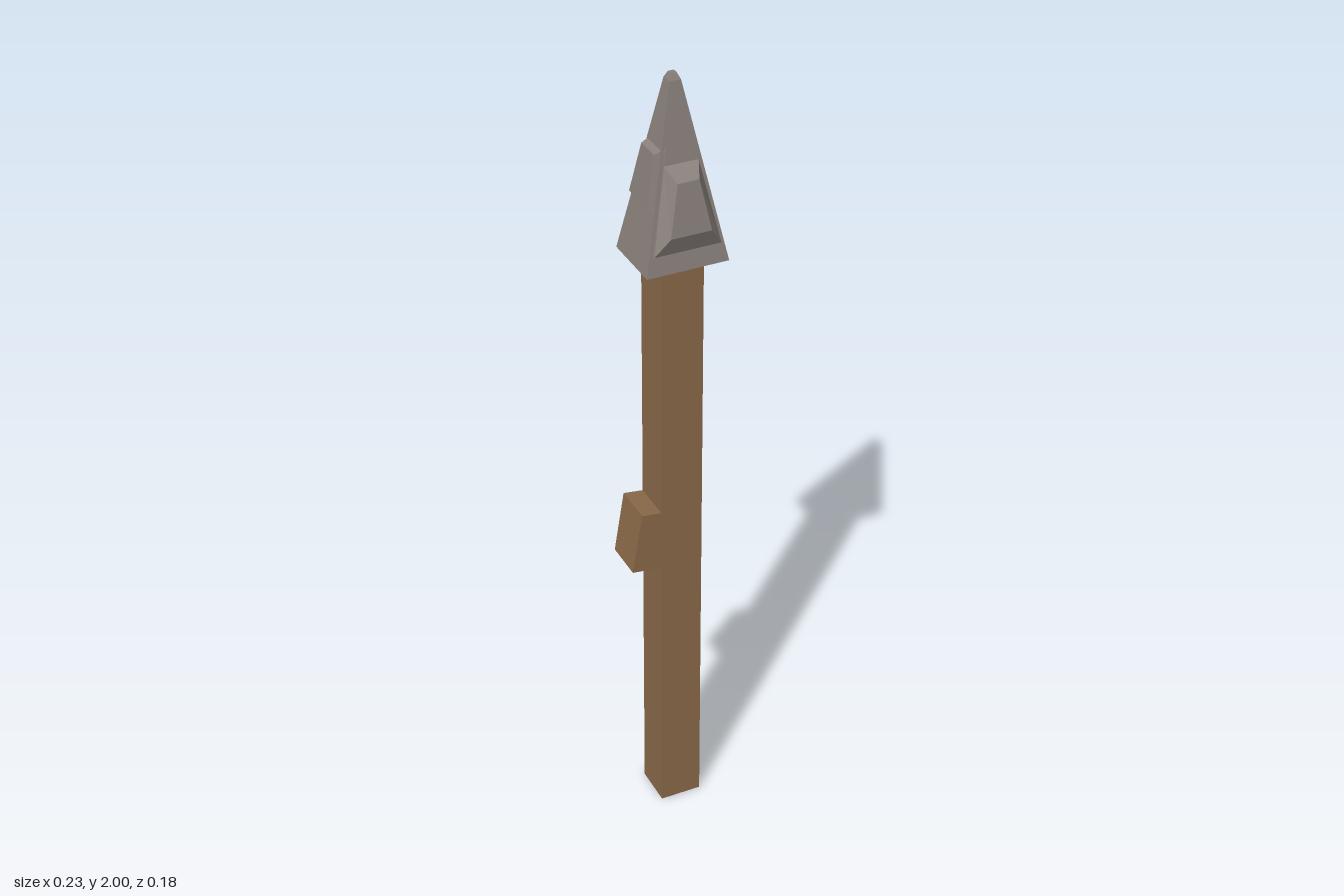
import * as THREE from 'three';

// Closed, flat-faced solid through four-cornered rings (anticlockwise seen from the last ring's side)
function loft(rings) {
  const pos = [];
  const quad = (a, b, c, d) => pos.push(...a, ...b, ...c, ...a, ...c, ...d);
  for (let r = 0; r < rings.length - 1; r++) {
    const lo = rings[r], hi = rings[r + 1];
    for (let i = 0; i < 4; i++) {
      const j = (i + 1) % 4;
      quad(lo[i], lo[j], hi[j], hi[i]);
    }
  }
  const first = rings[0], last = rings[rings.length - 1];
  quad(first[3], first[2], first[1], first[0]);
  quad(...last);
  const geo = new THREE.BufferGeometry();
  geo.setAttribute('position', new THREE.Float32BufferAttribute(pos, 3));
  geo.computeVertexNormals();
  return geo;
}

// Horizontal rectangle at height y
const level = (y, x0, x1, z0, z1) => [[x0, y, z1], [x1, y, z1], [x1, y, z0], [x0, y, z0]];

export function createModel() {
  const group = new THREE.Group();
  const wood = new THREE.MeshStandardMaterial({ color: 0x8b6b49, flatShading: true });
  wood.name = 'wood';
  const stone = new THREE.MeshStandardMaterial({ color: 0x89807b, flatShading: true });
  stone.name = 'stone';

  const add = (name, rings, material) => {
    const mesh = new THREE.Mesh(loft(rings), material);
    mesh.name = name;
    group.add(mesh);
  };

  // Square shaft
  add('shaft', [level(0, -0.04, 0.065, -0.06, 0.045), level(1.56, -0.04, 0.065, -0.06, 0.045)], wood);

  // Slanted branch stub on the side of the shaft
  add('branchStub', [
    [[-0.03, 0.734, -0.06], [-0.03, 0.734, 0.044], [-0.03, 0.894, 0.044], [-0.03, 0.894, -0.06]],
    [[-0.115, 0.744, -0.06], [-0.115, 0.744, 0.044], [-0.09, 0.902, 0.044], [-0.09, 0.902, -0.06]],
  ], wood);

  // Four-sided spearhead with a small bevelled tip
  add('spearhead', [
    level(1.556, -0.087, 0.114, -0.09, 0.072),
    level(1.985, -0.001, 0.027, -0.024, 0.004),
    level(2, 0.006, 0.02, -0.017, -0.003),
  ], stone);

  // Raised chip on the front face
  add('frontChip', [
    [[-0.07, 1.6, 0.055], [0.097, 1.6, 0.055], [0.055, 1.805, 0.015], [-0.029, 1.805, 0.015]],
    [[-0.068, 1.605, 0.07], [0.095, 1.605, 0.07], [0.055, 1.802, 0.035], [-0.028, 1.802, 0.035]],
    [[-0.036, 1.652, 0.088], [0.063, 1.652, 0.088], [0.04, 1.774, 0.07], [-0.012, 1.774, 0.07]],
  ], stone);

  // Raised chip on the side face
  add('sideChip', [
    [[-0.045, 1.68, -0.068], [-0.045, 1.68, 0.05], [-0.02, 1.842, 0.028], [-0.02, 1.842, -0.045]],
    [[-0.07, 1.712, -0.055], [-0.07, 1.712, 0.038], [-0.047, 1.83, 0.024], [-0.047, 1.83, -0.04]],
  ], stone);

  return group;
}
